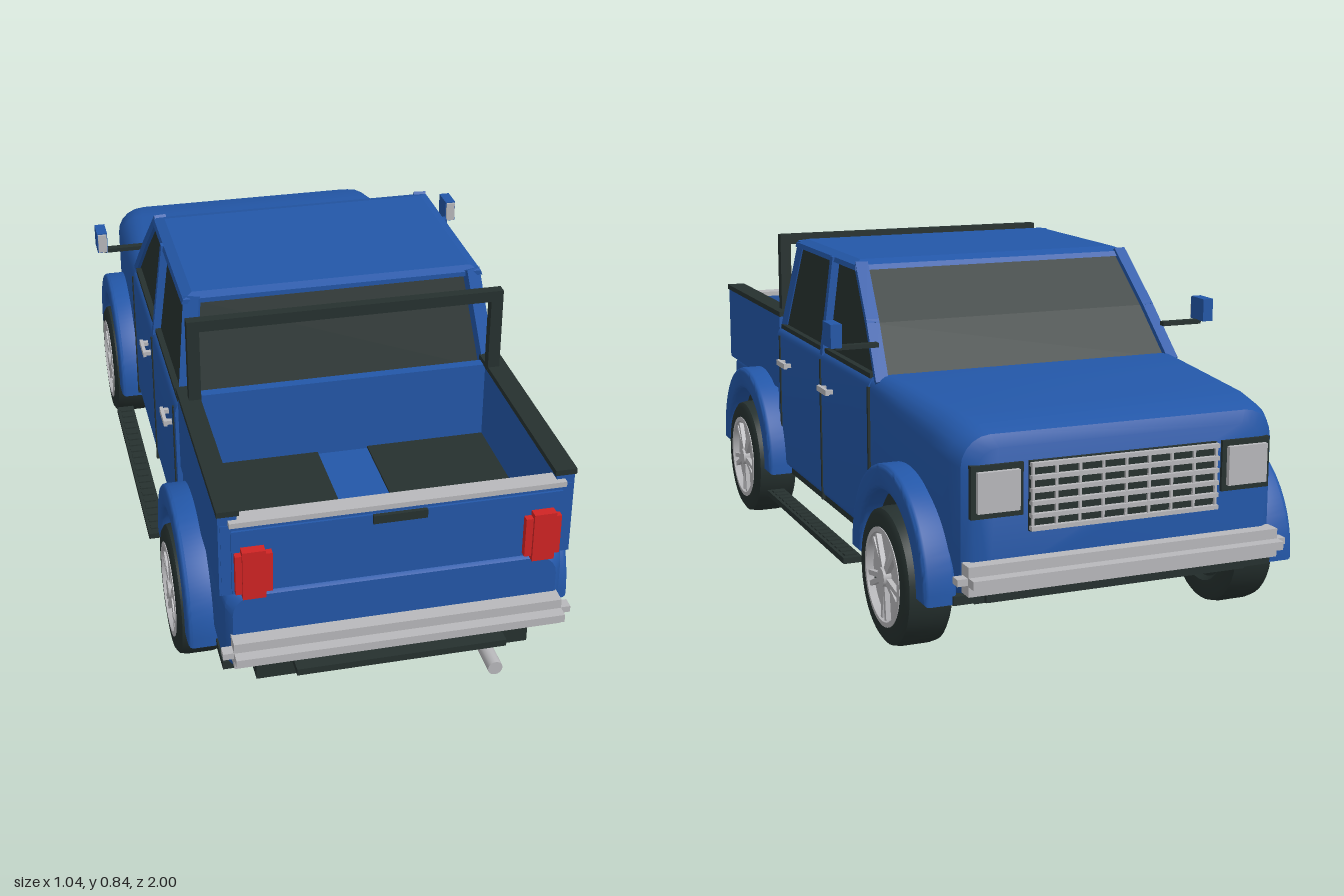
import * as THREE from 'three';
import { toCreasedNormals } from 'three/addons/utils/BufferGeometryUtils.js';
import { ConvexGeometry } from 'three/addons/geometries/ConvexGeometry.js';

const mat = (name, color) => {
  const m = new THREE.MeshStandardMaterial({ color });
  m.name = name;
  return m;
};

// Rounded-rectangle ring: half width w, bottom b, top t, top and bottom corner radii
function ring([z, w, b, t, rt, rb]) {
  const pts = [];
  const corners = [[w - rb, b + rb, rb, -90], [w - rt, t - rt, rt, 0], [rt - w, t - rt, rt, 90], [rb - w, b + rb, rb, 180]];
  for (const [cx, cy, r, a0] of corners) {
    for (let k = 0; k <= 5; k++) {
      const a = (a0 + k * 18) * Math.PI / 180;
      pts.push([cx + r * Math.cos(a), cy + r * Math.sin(a), z]);
    }
  }
  return pts;
}

// Closed skin through rings given in order of increasing z
function loft(sections) {
  const rings = sections.map(ring), n = rings[0].length, last = rings.length - 1, index = [];
  for (let i = 0; i < last; i++) {
    for (let j = 0; j < n; j++) {
      const a = i * n + j, b = i * n + (j + 1) % n;
      index.push(a, b, a + n, b, b + n, a + n);
    }
  }
  for (let j = 1; j < n - 1; j++) index.push(0, j + 1, j, last * n, last * n + j, last * n + j + 1);
  const g = new THREE.BufferGeometry();
  g.setAttribute('position', new THREE.Float32BufferAttribute(rings.flat(2), 3));
  g.setIndex(index);
  g.computeVertexNormals();
  return toCreasedNormals(g, 0.6);
}

export function createModel() {
  const truck = new THREE.Group();
  truck.name = 'pickupTruck';
  const blue = mat('bluePaint', 0x2357a8);
  const dark = mat('darkTrim', 0x26312f);
  const metal = mat('brightMetal', 0xb8b8bb);
  const red = mat('redLens', 0xd02424);

  const add = (name, geo, m, parent = truck) => {
    const mesh = new THREE.Mesh(geo, m);
    mesh.name = name;
    parent.add(mesh);
    return mesh;
  };
  // Box given by its extents
  const box = (name, m, x0, x1, y0, y1, z0, z1, parent) => {
    const g = new THREE.BoxGeometry(Math.abs(x1 - x0), y1 - y0, z1 - z0);
    g.translate((x0 + x1) / 2, (y0 + y1) / 2, (z0 + z1) / 2);
    return add(name, g, m, parent);
  };
  // Bar of rectangular section between two points
  const beam = (name, m, a, b, w, h) => {
    const p = new THREE.Vector3(...a), q = new THREE.Vector3(...b);
    const mesh = add(name, new THREE.BoxGeometry(w, h, p.distanceTo(q) + 0.012), m);
    mesh.position.copy(p).lerp(q, 0.5);
    mesh.lookAt(q);
  };

  // Body: bonnet, cab base and lower tail
  add('bonnet', loft([
    [-0.94, 0.365, 0.21, 0.52, 0.06, 0.04], [-0.925, 0.39, 0.19, 0.548, 0.07, 0.04],
    [-0.89, 0.405, 0.18, 0.562, 0.075, 0.03], [-0.8, 0.413, 0.18, 0.574, 0.07, 0.02],
    [-0.6, 0.417, 0.18, 0.584, 0.06, 0.02], [-0.44, 0.418, 0.18, 0.59, 0.045, 0.02],
    [-0.4, 0.418, 0.18, 0.586, 0.03, 0.02]]), blue);
  add('cabBase', loft([[-0.41, 0.421, 0.185, 0.585, 0.03, 0.02], [0.372, 0.421, 0.185, 0.585, 0.03, 0.02]]), blue);
  add('lowerTail', loft([
    [0.36, 0.408, 0.175, 0.4, 0.02, 0.05], [0.89, 0.408, 0.175, 0.4, 0.02, 0.05],
    [0.92, 0.4, 0.178, 0.398, 0.04, 0.05], [0.935, 0.385, 0.19, 0.39, 0.05, 0.05]]), blue);
  box('chassis', dark, -0.33, 0.33, 0.14, 0.18, -0.86, 0.92);
  box('underbody', dark, -0.405, 0.405, 0.165, 0.186, -0.92, 0.9);

  // Glasshouse
  const sideX = y => 0.405 - (y - 0.575) * 0.13;
  const outline = [[-0.435, 0.575], [-0.325, 0.7], [-0.2, 0.825], [0.29, 0.825], [0.365, 0.575]];
  const glassPts = [];
  for (const s of [-1, 1]) for (const [z, y] of outline) glassPts.push(new THREE.Vector3(s * (sideX(y) - 0.006), y, z));
  add('windows', new ConvexGeometry(glassPts), dark);
  const roofPts = [];
  for (const s of [-1, 1]) {
    for (const [x, y, z0, z1] of [[0.384, 0.816, -0.215, 0.3], [0.38, 0.828, -0.205, 0.3], [0.355, 0.838, -0.17, 0.28]]) {
      roofPts.push(new THREE.Vector3(s * x, y, z0), new THREE.Vector3(s * x, y, z1));
    }
  }
  add('roof', new ConvexGeometry(roofPts), blue);
  for (const s of [-1, 1]) {
    const at = ([z, y], dx = 0) => [s * (sideX(y) - 0.01 - dx), y, z];
    beam('frontPillarLower', blue, at(outline[0]), at(outline[1]), 0.032, 0.02);
    beam('frontPillarUpper', blue, at(outline[1]), at(outline[2]), 0.032, 0.02);
    beam('rearPillar', blue, at(outline[4], 0.006), at(outline[3], 0.006), 0.04, 0.022);
    beam('middlePillar', blue, at([-0.03, 0.575], -0.003), at([-0.03, 0.82], -0.003), 0.02, 0.042);
    box('beltTrim', dark, s * 0.39, s * 0.412, 0.578, 0.59, -0.4, 0.36);
  }

  // Cargo bed
  box('bedFloor', blue, -0.38, 0.38, 0.39, 0.405, 0.38, 0.92);
  box('bedFrontWall', blue, -0.4, 0.4, 0.39, 0.612, 0.374, 0.4);
  box('tailgate', blue, -0.408, 0.408, 0.4, 0.585, 0.9, 0.932);
  box('tailgatePanel', blue, -0.385, 0.385, 0.405, 0.57, 0.932, 0.938);
  box('tailgateCap', metal, -0.39, 0.39, 0.585, 0.598, 0.9, 0.945);
  box('tailgateHandle', dark, -0.063, 0.063, 0.55, 0.571, 0.936, 0.946);
  for (const s of [-1, 1]) {
    box('bedSide', blue, s * 0.37, s * 0.413, 0.398, 0.612, 0.374, 0.93);
    box('bedRail', dark, s * 0.365, s * 0.416, 0.61, 0.624, 0.365, 0.935);
    box('bedMat', dark, s * 0.065, s * 0.37, 0.405, 0.411, 0.4, 0.9);
    box('rollBarPost', dark, s * 0.364, s * 0.394, 0.615, 0.836, 0.412, 0.438);
    box('tailLight', red, s * 0.295, s * 0.38, 0.413, 0.515, 0.93, 0.955);
    box('tailLightCore', red, s * 0.312, s * 0.365, 0.402, 0.528, 0.93, 0.962);
  }
  box('rollBarTop', dark, -0.394, 0.394, 0.808, 0.836, 0.412, 0.438);

  // Bumpers, step and exhaust
  for (const [name, s, y] of [['rearBumper', 1, 0.254], ['frontBumper', -1, 0.233]]) {
    const span = (part, x, y0, y1, a, b) => box(name + part, metal, -x, x, y + y0, y + y1, Math.min(s * a, s * b), Math.max(s * a, s * b));
    span('Plate', 0.39, -0.034, 0.034, 0.93, 0.972);
    span('Lip', 0.39, -0.01, 0.01, 0.93, 1);
    span('Ends', 0.415, -0.008, 0.008, 0.94, 0.968);
  }
  box('rearStep', dark, -0.25, 0.25, 0.197, 0.214, 0.91, 0.998);
  box('frontSkid', dark, -0.33, 0.33, 0.165, 0.195, -0.93, -0.86);
  const pipe = add('exhaust', new THREE.CylinderGeometry(0.018, 0.018, 0.19, 16), metal);
  pipe.rotation.x = Math.PI / 2;
  pipe.position.set(0.23, 0.127, 0.895);

  // Grille and headlights
  box('grille', dark, -0.235, 0.235, 0.325, 0.485, -0.95, -0.93);
  for (let i = 0; i < 6; i++) box('grilleBar', metal, -0.235, 0.235, 0.328 + i * 0.029, 0.338 + i * 0.029, -0.962, -0.945);
  for (let i = 0; i < 9; i++) {
    const x = -0.23 + i * 0.0575;
    box('grilleSlat', metal, x - 0.003, x + 0.003, 0.328, 0.483, -0.957, -0.945);
  }
  for (const s of [-1, 1]) {
    box('headlightFrame', dark, s * 0.25, s * 0.375, 0.365, 0.485, -0.948, -0.9);
    box('headlight', metal, s * 0.262, s * 0.363, 0.38, 0.472, -0.96, -0.93);
  }

  // Side fittings
  for (const s of [-1, 1]) {
    for (const z of [0.345, -0.03, -0.41]) box('doorSeam', dark, s * 0.415, s * 0.424, 0.18, 0.56, z - 0.004, z + 0.004);
    for (const z of [0.275, -0.1]) {
      box('doorHandle', metal, s * 0.434, s * 0.443, 0.484, 0.499, z - 0.038, z + 0.038);
      for (const d of [-0.028, 0.028]) box('handleMount', metal, s * 0.418, s * 0.436, 0.486, 0.497, z + d - 0.006, z + d + 0.006);
    }
    box('runningBoard', dark, s * 0.442, s * 0.49, 0.12, 0.135, -0.41, 0.27);
    for (let i = 0; i < 20; i++) box('stepPad', dark, s * 0.45, s * 0.482, 0.135, 0.139, -0.395 + i * 0.033, -0.378 + i * 0.033);
    box('mirrorArm', dark, s * 0.39, s * 0.5, 0.654, 0.665, -0.405, -0.385);
    box('mirrorHousing', blue, s * 0.492, s * 0.52, 0.664, 0.722, -0.43, -0.366);
    box('mirrorGlass', metal, s * 0.494, s * 0.518, 0.667, 0.719, -0.366, -0.361);
  }

  // Wheels with arches; local axis is y, turned to point outwards
  const V = (r, y) => new THREE.Vector2(r, y);
  const tyreGeo = toCreasedNormals(new THREE.LatheGeometry([
    V(0, -0.045), V(0.1, -0.045), V(0.11, -0.058), V(0.148, -0.058), V(0.16, -0.05), V(0.164, -0.03), V(0.164, 0.03),
    V(0.16, 0.05), V(0.148, 0.058), V(0.115, 0.058), V(0.112, 0.04), V(0, 0.04)], 40), 0.6);
  const rimGeo = toCreasedNormals(new THREE.LatheGeometry([
    V(0.118, 0.04), V(0.118, 0.06), V(0.106, 0.061), V(0.1, 0.044), V(0, 0.044)], 40), 0.6);
  const arch = new THREE.Shape();
  arch.absarc(0, 0, 0.238, 0, Math.PI, false);
  arch.absarc(0, 0, 0.2, Math.PI, 0, true);
  const archGeo = toCreasedNormals(new THREE.ExtrudeGeometry(arch, {
    depth: 0.055, bevelEnabled: true, bevelSize: 0.012, bevelThickness: 0.012, bevelSegments: 3, curveSegments: 28 }), 0.6);
  archGeo.rotateY(Math.PI / 2);
  archGeo.translate(-0.0275, 0, 0);
  const linerGeo = new THREE.CylinderGeometry(0.193, 0.193, 0.01, 28, 1, false, 0, Math.PI);
  linerGeo.rotateZ(Math.PI / 2);

  for (const s of [-1, 1]) {
    for (const z of [0.56, -0.665]) {
      add('wheelArch', archGeo, blue).position.set(s * 0.432, 0.178, z);
      add('archLiner', linerGeo, dark).position.set(s * 0.418, 0.178, z);
      const wheel = new THREE.Group();
      wheel.name = 'wheel';
      wheel.position.set(s * 0.422, 0.164, z);
      wheel.rotation.z = -s * Math.PI / 2;
      truck.add(wheel);
      add('tyre', tyreGeo, dark, wheel);
      add('rim', rimGeo, metal, wheel);
      add('hub', new THREE.CylinderGeometry(0.022, 0.026, 0.02, 20), metal, wheel).position.y = 0.052;
      for (let i = 0; i < 5; i++) {
        const spoke = new THREE.Group();
        spoke.name = 'spoke';
        spoke.rotation.y = i * Math.PI * 0.4;
        wheel.add(spoke);
        for (const k of [-1, 1]) {
          const bar = box('spokeBar', metal, 0.012, 0.106, 0.044, 0.056, -0.006, 0.006, spoke);
          bar.rotation.y = k * 0.13;
        }
        box('spokeGap', dark, 0.045, 0.095, 0.044, 0.046, -0.004, 0.004, spoke);
      }
    }
  }
  return truck;
}
